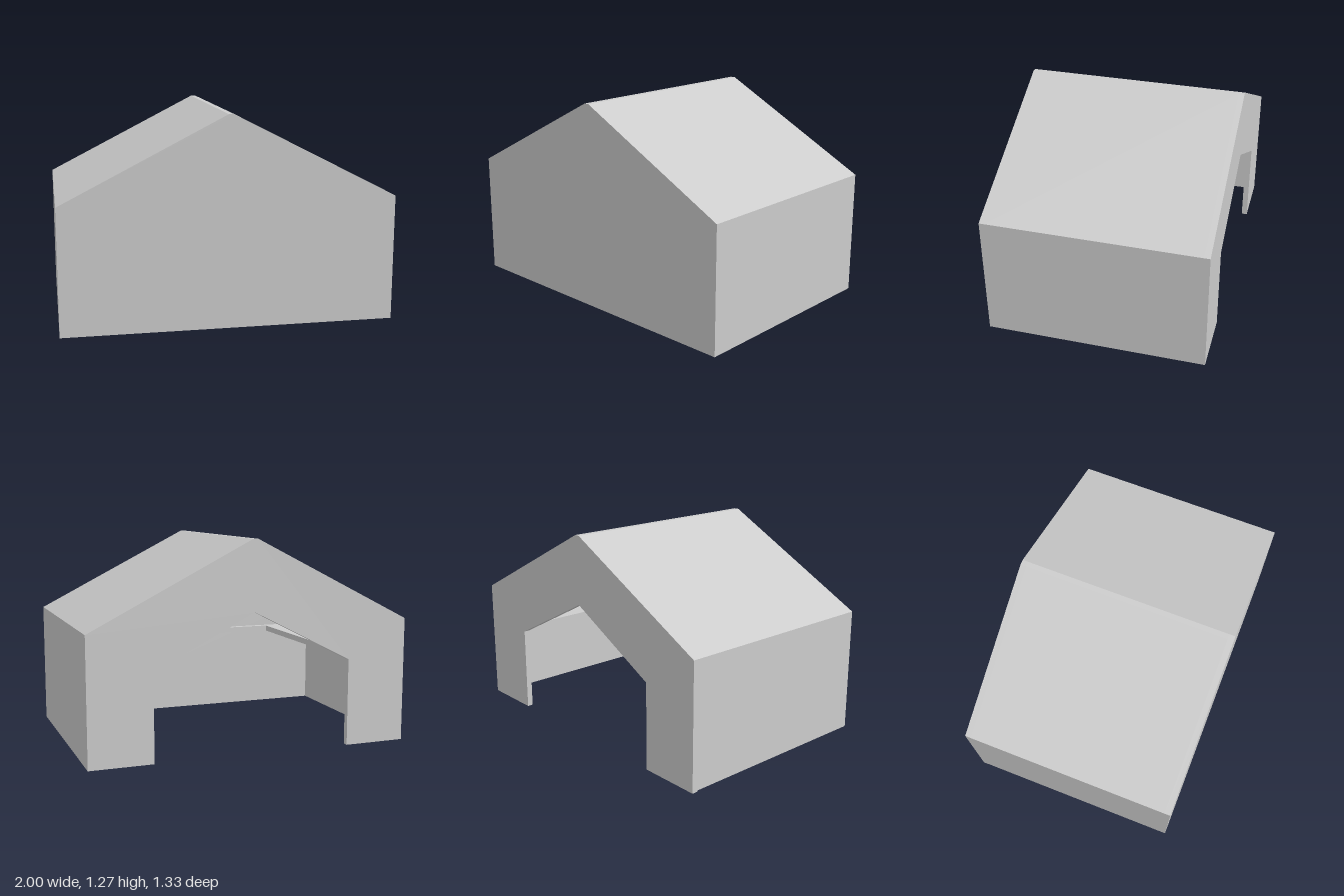
import * as THREE from 'three';

const W = 1, D = 0.667, T = 0.036;      // half width, half depth, wall thickness
const EAVE = 0.77, RIDGE = 1.273, BASE = 0.007;
const DOOR_X = 0.615, DOOR_EAVE = 0.535, DOOR_TOP = 0.85;

const material = new THREE.MeshStandardMaterial({ color: 0xcccccc, flatShading: true });

const shapeOf = (points) => new THREE.Shape(points.map(([x, y]) => new THREE.Vector2(x, y)));

function extrude(name, shape, depth, z) {
  const geometry = new THREE.ExtrudeGeometry(shape, { depth, bevelEnabled: false });
  geometry.translate(0, 0, z);
  const mesh = new THREE.Mesh(geometry, material);
  mesh.name = name;
  return mesh;
}

export function createModel() {
  const group = new THREE.Group();
  group.name = 'gableShelter';

  // Roof line from right eave over the slightly flattened ridge to the left eave
  const roofLine = [[W, EAVE], [0.016, RIDGE], [-0.016, RIDGE], [-W, EAVE]];

  // Side walls and roof as one hollow section
  const inner = W - T;
  const shell = shapeOf([
    [W, BASE], ...roofLine, [-W, BASE], [-inner, BASE],
    [-inner, EAVE - 0.03], [0, RIDGE - 0.05], [inner, EAVE - 0.03], [inner, BASE],
  ]);
  group.add(extrude('sideWallsAndRoof', shell, 2 * (D - T), -D + T));

  // Solid front gable
  group.add(extrude('frontWall', shapeOf([[W, BASE], ...roofLine, [-W, BASE]]), T, D - T));

  // Back gable with the open pentagonal doorway
  const back = shapeOf([
    [W, BASE], ...roofLine, [-W, 0], [-DOOR_X, 0], [-DOOR_X, DOOR_EAVE],
    [0, DOOR_TOP], [DOOR_X, DOOR_EAVE], [DOOR_X, BASE],
  ]);
  group.add(extrude('backWall', back, T, -D));

  // Ledge round both sides and the front, at doorway eave height
  const zi = D - T;
  const ledge = shapeOf([
    [-inner, -zi], [inner, -zi], [inner, zi], [DOOR_X, zi],
    [DOOR_X, -zi + 0.04], [-DOOR_X, -zi + 0.04], [-DOOR_X, zi], [-inner, zi],
  ]);
  const ledgeMesh = extrude('innerLedge', ledge, 0.037, 0);
  ledgeMesh.geometry.rotateX(-Math.PI / 2).translate(0, DOOR_EAVE, 0);
  group.add(ledgeMesh);

  return group;
}
